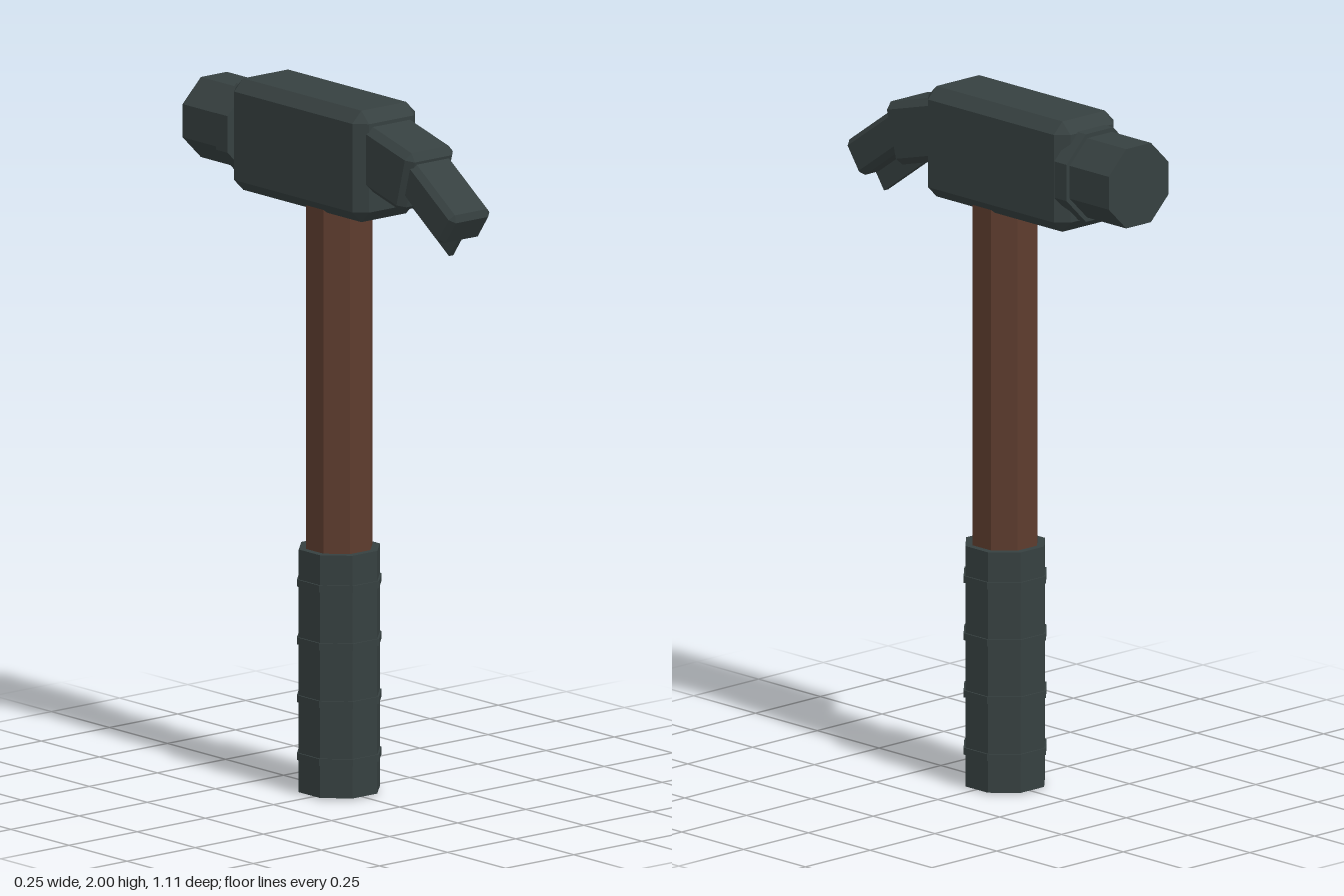
import * as THREE from 'three';
import { ConvexGeometry } from 'three/addons/geometries/ConvexGeometry.js';

function makeMaterial(name, color) {
  const m = new THREE.MeshStandardMaterial({ color, flatShading: true });
  m.name = name;
  return m;
}

// Box with every edge and corner cut by c
function chamferBox(w, h, d, c) {
  const half = [w / 2, h / 2, d / 2];
  const points = [];
  for (let axis = 0; axis < 3; axis++)
    for (const sx of [-1, 1]) for (const sy of [-1, 1]) for (const sz of [-1, 1]) {
      const p = [sx, sy, sz].map((s, i) => s * (half[i] - (i === axis ? 0 : c)));
      points.push(new THREE.Vector3(...p));
    }
  return new ConvexGeometry(points);
}

// Upright octagonal prism with flats facing the axes; size is the distance to a flat
function octagon(apothem, height) {
  const r = apothem / Math.cos(Math.PI / 8);
  return new THREE.CylinderGeometry(r, r, height, 8).rotateY(Math.PI / 8);
}

export function createModel() {
  const group = new THREE.Group();
  const charcoal = makeMaterial('charcoal', 0x364040);
  const wood = makeMaterial('brown wood', 0x5d3c2e);
  const rad = THREE.MathUtils.degToRad;

  function add(name, geometry, material, y, z, tilt = 0) {
    const mesh = new THREE.Mesh(geometry, material);
    mesh.name = name;
    mesh.position.set(0, y, z);
    mesh.rotation.x = tilt;
    group.add(mesh);
  }

  // Handle, showing at the bottom of the grip
  add('handle', octagon(0.09, 1.72), wood, 0.86, -0.01);

  // Grip sleeve and its raised bands
  add('grip', octagon(0.11, 0.697), charcoal, 0.3525, -0.01);
  for (let i = 0; i < 4; i++)
    add('gripBand', octagon(0.115, 0.02), charcoal, 0.107 + i * 0.166, -0.01);

  // Head block
  add('head', chamferBox(0.23, 0.32, 0.575, 0.033), charcoal, 1.84, -0.073);

  // Striking end at the back
  add('collar', octagon(0.127, 0.05), charcoal, 1.843, -0.367, Math.PI / 2);
  add('strikingFace', octagon(0.115, 0.2), charcoal, 1.843, -0.45, Math.PI / 2);

  // Claw bending down at the front, with a thin fin beneath
  add('clawNeck', chamferBox(0.176, 0.18, 0.23, 0.02), charcoal, 1.85, 0.266, rad(15));
  add('clawTip', chamferBox(0.15, 0.11, 0.26, 0.016), charcoal, 1.785, 0.433, rad(35));
  add('clawFin', new THREE.BoxGeometry(0.016, 0.088, 0.205), charcoal, 1.719, 0.413, rad(35));

  return group;
}
